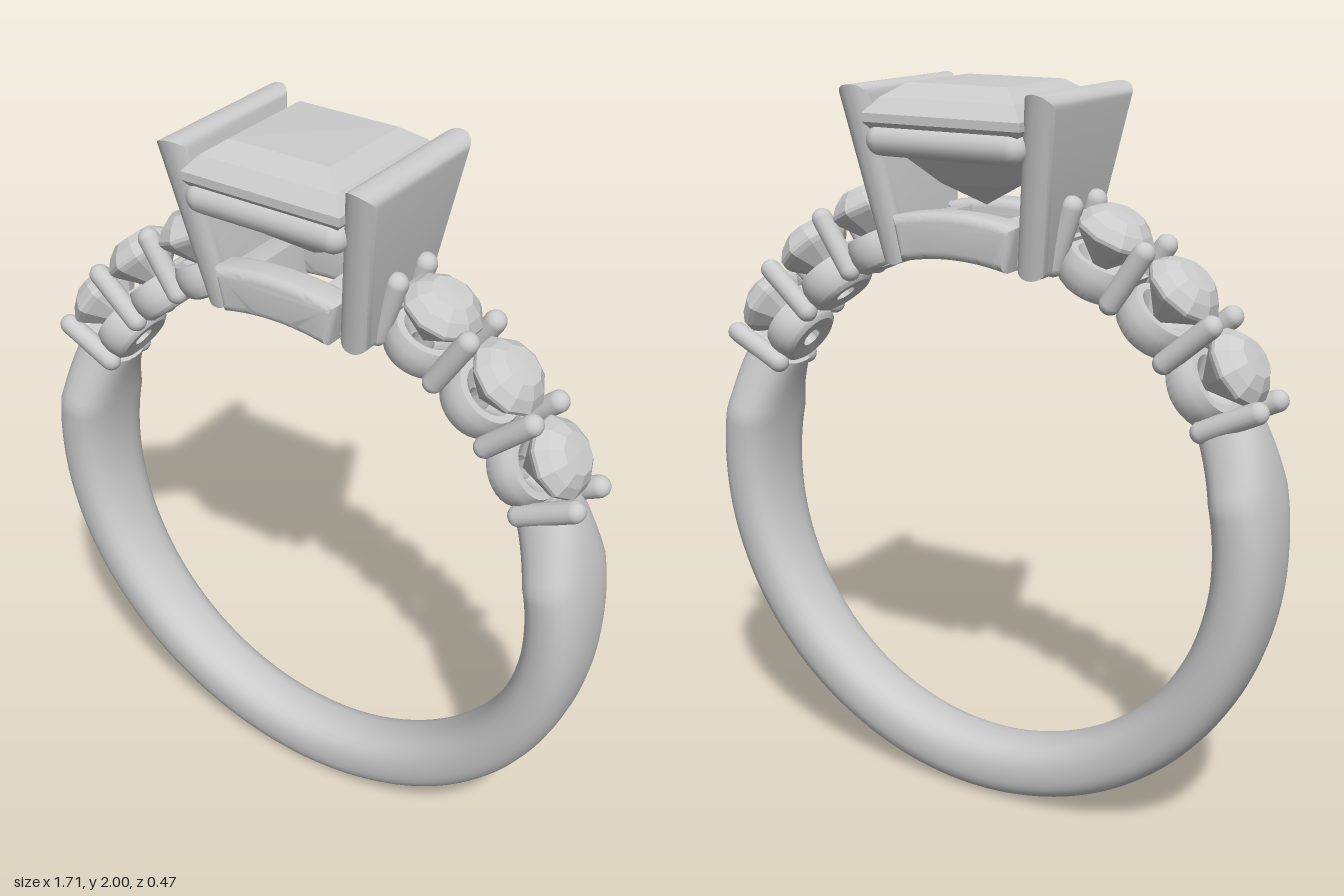
import * as THREE from 'three';
import { toCreasedNormals } from 'three/addons/utils/BufferGeometryUtils.js';

const CY = 0.865; // height of the ring's axis
const rad = THREE.MathUtils.degToRad;
const metal = new THREE.MeshStandardMaterial({ color: 0xcccccc, side: THREE.DoubleSide });
const gem = new THREE.MeshStandardMaterial({ color: 0xcccccc, flatShading: true });

function add(parent, name, geometry, material = metal) {
  const mesh = new THREE.Mesh(geometry, material);
  mesh.name = name;
  parent.add(mesh);
  return mesh;
}

const lathe = (pts, sides, start = 0) =>
  new THREE.LatheGeometry(pts.map(([x, y]) => new THREE.Vector2(x, y)), sides, start);

// Group on the ring axis whose local +y points outward at the given angle
function radialGroup(parent, name, degrees) {
  const g = new THREE.Group();
  g.name = name;
  g.position.y = CY;
  g.rotation.z = rad(degrees - 90);
  parent.add(g);
  return g;
}

// Rounded sweep that widens towards the shoulders, then pinches in
function bandGeometry() {
  const N = 110, M = 28, pos = [], idx = [];
  const start = rad(153.5), end = rad(386.5);
  const pw = (v) => Math.sign(v) * Math.abs(v) ** 0.8;
  for (let i = 0; i <= N; i++) {
    const u = start + (end - start) * i / N;
    const y = CY + 0.86 * Math.sin(u);
    const w = y < 1.04 ? 0.09 + 0.05 * Math.max(y, 0) / 1.04
      : THREE.MathUtils.lerp(0.14, 0.08, (y - 1.04) / 0.2);
    const rOut = 0.857 + 0.008 * Math.max(0, -Math.sin(u));
    const mid = (rOut + 0.694) / 2, h = (rOut - 0.694) / 2;
    for (let j = 0; j < M; j++) {
      const s = j / M * Math.PI * 2;
      const r = mid + h * pw(Math.cos(s));
      pos.push(r * Math.cos(u), CY + r * Math.sin(u), w * pw(Math.sin(s)));
    }
  }
  for (let i = 0; i < N; i++) {
    for (let j = 0; j < M; j++) {
      const a = i * M + j, b = i * M + (j + 1) % M;
      idx.push(a, a + M, b, b, a + M, b + M);
    }
  }
  // End caps
  for (let j = 1; j < M - 1; j++) {
    idx.push(0, j, j + 1, N * M, N * M + j + 1, N * M + j);
  }
  const geo = new THREE.BufferGeometry();
  geo.setAttribute('position', new THREE.Float32BufferAttribute(pos, 3));
  geo.setIndex(idx);
  return toCreasedNormals(geo, rad(40));
}

// Curved block following the ring, extruded along z
function arcBlock(r0, r1, a0, a1, z0, z1, bevel) {
  const s = new THREE.Shape();
  s.absarc(0, 0, r1, rad(a0), rad(a1), false);
  s.absarc(0, 0, r0, rad(a1), rad(a0), true);
  const geo = new THREE.ExtrudeGeometry(s, {
    depth: z1 - z0 - 2 * bevel, curveSegments: 16, bevelSize: bevel,
    bevelThickness: bevel, bevelOffset: -bevel, bevelSegments: 4,
  });
  geo.translate(0, CY, z0 + bevel);
  return toCreasedNormals(geo, rad(35));
}

// Tapered side plate with rounded edges, origin at its bottom centre
function plateGeometry() {
  const s = new THREE.Shape();
  s.moveTo(-0.14, 0);
  s.lineTo(0.14, 0);
  s.lineTo(0.232, 0.47);
  s.lineTo(-0.232, 0.47);
  s.closePath();
  const geo = new THREE.ExtrudeGeometry(s, {
    depth: 0.004, bevelSize: 0.034, bevelThickness: 0.04, bevelOffset: -0.034, bevelSegments: 6,
  });
  geo.translate(0, 0, -0.002);
  geo.rotateY(Math.PI / 2);
  return toCreasedNormals(geo, rad(35));
}

export function createModel() {
  const ring = new THREE.Group();
  ring.name = 'ring';
  add(ring, 'band', bandGeometry());

  // Shoulder settings: stones in cups, separated by pairs of prongs
  const stoneGeo = lathe([[0, 0.745], [0.098, 0.845], [0.106, 0.858], [0.106, 0.868],
    [0.085, 0.895], [0.055, 0.917], [0, 0.92]], 10);
  const cupGeo = toCreasedNormals(lathe([[0.03, 0.70], [0.075, 0.695], [0.09, 0.705], [0.099, 0.735],
    [0.099, 0.765], [0.09, 0.79], [0.07, 0.79], [0.03, 0.745], [0.03, 0.70]], 28), rad(40));
  const prongGeo = new THREE.CapsuleGeometry(0.029, 0.16, 6, 14);
  const bridgeGeo = new THREE.BoxGeometry(0.03, 0.08, 0.12);
  for (const side of [1, -1]) {
    const angle = (a) => (side > 0 ? a : 180 - a);
    for (const a of [33.6, 49.1, 64.2]) {
      const g = radialGroup(ring, 'shoulderSetting', angle(a));
      add(g, 'shoulderStone', stoneGeo, gem);
      add(g, 'stoneCup', cupGeo);
    }
    for (const a of [26, 41.2, 57, 71.3]) {
      const g = radialGroup(ring, 'prongPair', angle(a));
      for (const z of [0.065, -0.065]) add(g, 'prong', prongGeo).position.set(0, 0.808, z);
      add(g, 'prongBridge', bridgeGeo).position.y = 0.765;
    }
  }

  // Head: two leaning plates, rails and a curved base frame
  const head = new THREE.Group();
  head.name = 'head';
  ring.add(head);
  const plateGeo = plateGeometry();
  const railGeo = new THREE.CapsuleGeometry(0.041, 0.38, 6, 16);
  railGeo.rotateZ(Math.PI / 2);
  for (const s of [1, -1]) {
    const plate = add(head, 'sidePlate', plateGeo);
    plate.position.set(s * 0.2, 1.525, 0);
    plate.rotation.z = -s * 0.155;
    add(head, 'rail', railGeo).position.set(0, 1.855, s * 0.195);
    add(head, 'baseBar', s > 0 ? arcBlock(0.695, 0.815, 77, 103, 0.085, 0.18, 0.022)
      : arcBlock(0.695, 0.815, 77, 103, -0.18, -0.085, 0.022));
    const a = s > 0 ? 76 : 97;
    add(head, 'baseCrossBar', arcBlock(0.698, 0.80, a, a + 7, -0.12, 0.12, 0.01));
  }

  // Square centre stone with a stepped crown and curved pavilion
  const q = Math.SQRT2;
  const profile = [[0, 1.68], [0.085, 1.74], [0.165, 1.825], [0.228, 1.9], [0.228, 1.922],
    [0.195, 1.96], [0.145, 1.995], [0, 2]].map(([r, y]) => [r * q, y]);
  add(head, 'centreStone', lathe(profile, 4, Math.PI / 4), gem);

  return ring;
}
